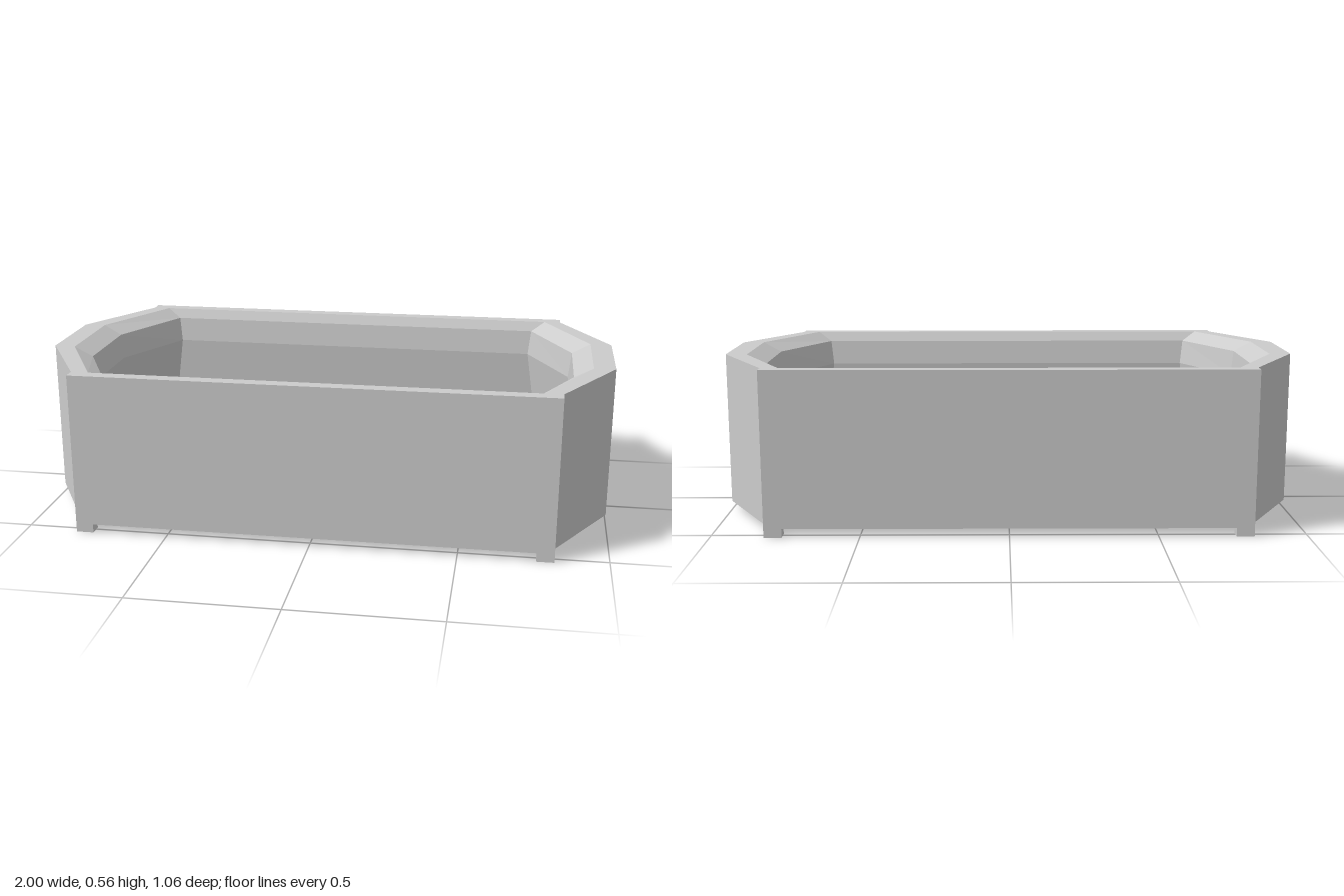
import * as THREE from 'three';

const TOP = 0.565, BASE = 0.03;
const material = new THREE.MeshStandardMaterial({ color: 0xcccccc, flatShading: true });

// Mirror a quarter outline of [x, z] points into a closed ring
function ring(quarter) {
  const back = [...quarter].reverse();
  return [
    ...quarter,
    ...back.map(([x, z]) => [-x, z]),
    ...quarter.map(([x, z]) => [-x, -z]),
    ...back.map(([x, z]) => [x, -z]),
  ];
}

// Band of quads between two rings, leaving out the listed sides
function band(a, ya, b, yb, skip = []) {
  const pos = [];
  a.forEach((p, i) => {
    if (skip.includes(i)) return;
    const j = (i + 1) % a.length;
    const A = [p[0], ya, p[1]], B = [a[j][0], ya, a[j][1]];
    const C = [b[j][0], yb, b[j][1]], D = [b[i][0], yb, b[i][1]];
    pos.push(...A, ...D, ...C, ...A, ...C, ...B);
  });
  const g = new THREE.BufferGeometry();
  g.setAttribute('position', new THREE.Float32BufferAttribute(pos, 3));
  g.computeVertexNormals();
  return g;
}

// Horizontal face from a ring, optionally with an opening
function plate(outline, y, up, opening) {
  const vec = ([x, z]) => new THREE.Vector2(x, z);
  const shape = new THREE.Shape(outline.map(vec));
  if (opening) shape.holes.push(new THREE.Path(opening.map(vec)));
  return new THREE.ShapeGeometry(shape).rotateX(up ? -Math.PI / 2 : Math.PI / 2).translate(0, y, 0);
}

export function createModel() {
  const model = new THREE.Group();
  const add = (name, geometry, x = 0, y = 0, z = 0) => {
    const mesh = new THREE.Mesh(geometry, material);
    mesh.name = name;
    mesh.position.set(x, y, z);
    model.add(mesh);
    return mesh;
  };

  const outer = ring([[1, 0.16], [0.82, 0.485], [0.82, 0.53]]);
  const rim = ring([[0.925, 0.165], [0.76, 0.485]]);
  const lipTop = ring([[0.86, 0.16], [0.71, 0.467]]);
  const lipBottom = ring([[0.85, 0.155], [0.7, 0.457]]);
  const floor = ring([[0.91, 0.165], [0.75, 0.485]]);

  // Outer shell, open at the two flat ends for the slotted panels
  add('outerWall', band(outer, BASE, outer, TOP, [5, 11]));
  add('underside', plate(outer, BASE, false));
  add('rim', plate(outer, TOP, true, rim));

  // Cavity: sloping rim edge, inner lip, undercut wall and floor
  add('rimChamfer', band(rim, TOP, lipTop, 0.53));
  add('innerLip', band(lipTop, 0.53, lipBottom, 0.44));
  add('innerWall', band(lipBottom, 0.44, floor, 0.1));
  add('floor', plate(floor, 0.1, true));

  // End panels with a shallow grip slot
  const panel = new THREE.Shape();
  panel.moveTo(-0.16, BASE).lineTo(0.16, BASE).lineTo(0.16, TOP).lineTo(-0.16, TOP).closePath();
  const slot = new THREE.Path();
  slot.moveTo(-0.14, 0.48).lineTo(-0.14, 0.496).lineTo(0.14, 0.496).lineTo(0.14, 0.48).closePath();
  panel.holes.push(slot);
  const panelGeometry = new THREE.ExtrudeGeometry(panel, { depth: 0.03, bevelEnabled: false });
  for (const s of [-1, 1]) {
    add(s > 0 ? 'leftEndPanel' : 'rightEndPanel', panelGeometry, s * 0.97).rotation.y = s * Math.PI / 2;
    add('slotBack', new THREE.BoxGeometry(0.01, 0.02, 0.29), s * 0.967, 0.488, 0);
  }

  // Corner feet
  for (const sx of [-1, 1]) {
    for (const sz of [-1, 1]) {
      add('foot', new THREE.BoxGeometry(0.06, BASE, 0.045), sx * 0.79, BASE / 2, sz * 0.5075);
    }
  }
  return model;
}
